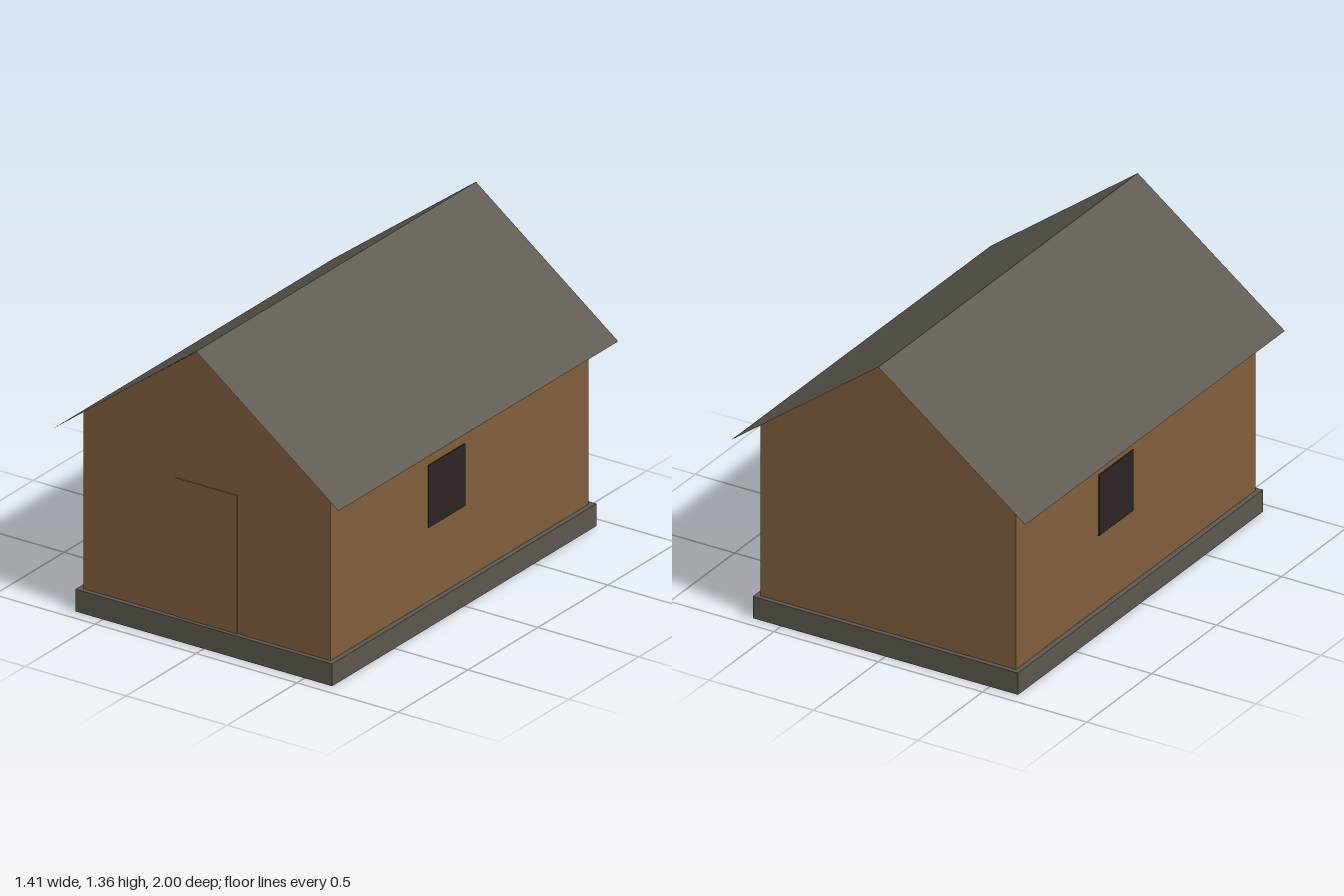
import * as THREE from 'three';

const flat = (name, color, side = THREE.FrontSide) => {
  const m = new THREE.MeshStandardMaterial({ color, side });
  m.name = name;
  return m;
};

export function createModel() {
  const house = new THREE.Group();
  house.name = 'cabin';
  const wood = flat('brown wood', 0x805d3d);
  const slate = flat('dark grey', 0x5b574e, THREE.DoubleSide);
  const glass = flat('dark glass', 0x2d2324);

  const add = (name, geometry, material, x = 0, y = 0, z = 0) => {
    const mesh = new THREE.Mesh(geometry, material);
    mesh.name = name;
    mesh.position.set(x, y, z);
    house.add(mesh);
    return mesh;
  };

  // Foundation: a shallow box left open underneath
  const base = new THREE.BoxGeometry(1.272, 0.1, 1.89);
  const index = Array.from(base.index.array);
  index.splice(18, 6); // remove the bottom face
  base.setIndex(index);
  base.clearGroups();
  add('foundation', base, slate, 0, 0.05, 0);

  // Walls: gabled outline carried along the length of the house
  const gable = new THREE.Shape([
    [-0.612, 0.1], [0.612, 0.1], [0.612, 0.893], [0, 1.35], [-0.612, 0.893],
  ].map(([x, y]) => new THREE.Vector2(x, y)));
  add('walls', new THREE.ExtrudeGeometry(gable, { depth: 1.846, bevelEnabled: false }), wood, 0, 0, -0.923);

  // Roof: two thin sheets meeting at the ridge
  const eaveX = 0.705, ridgeY = 1.355, eaveY = 0.825;
  const width = Math.hypot(eaveX, ridgeY - eaveY);
  const pitch = Math.atan2(ridgeY - eaveY, eaveX);
  for (const s of [1, -1]) {
    const sheet = new THREE.PlaneGeometry(width, 2).rotateX(-Math.PI / 2).rotateZ(-s * pitch);
    add(s > 0 ? 'leftRoof' : 'rightRoof', sheet, slate, s * eaveX / 2, (ridgeY + eaveY) / 2, 0);
  }

  // Door: thin plate reaching a little below the floor
  add('door', new THREE.BoxGeometry(0.306, 0.68, 0.009), wood, 0, 0.38, 0.923);

  // One window in each long wall
  const pane = new THREE.BoxGeometry(0.008, 0.28, 0.262);
  add('leftWindow', pane, glass, 0.612, 0.571, 0.096);
  add('rightWindow', pane, glass, -0.612, 0.571, -0.155);

  return house;
}
